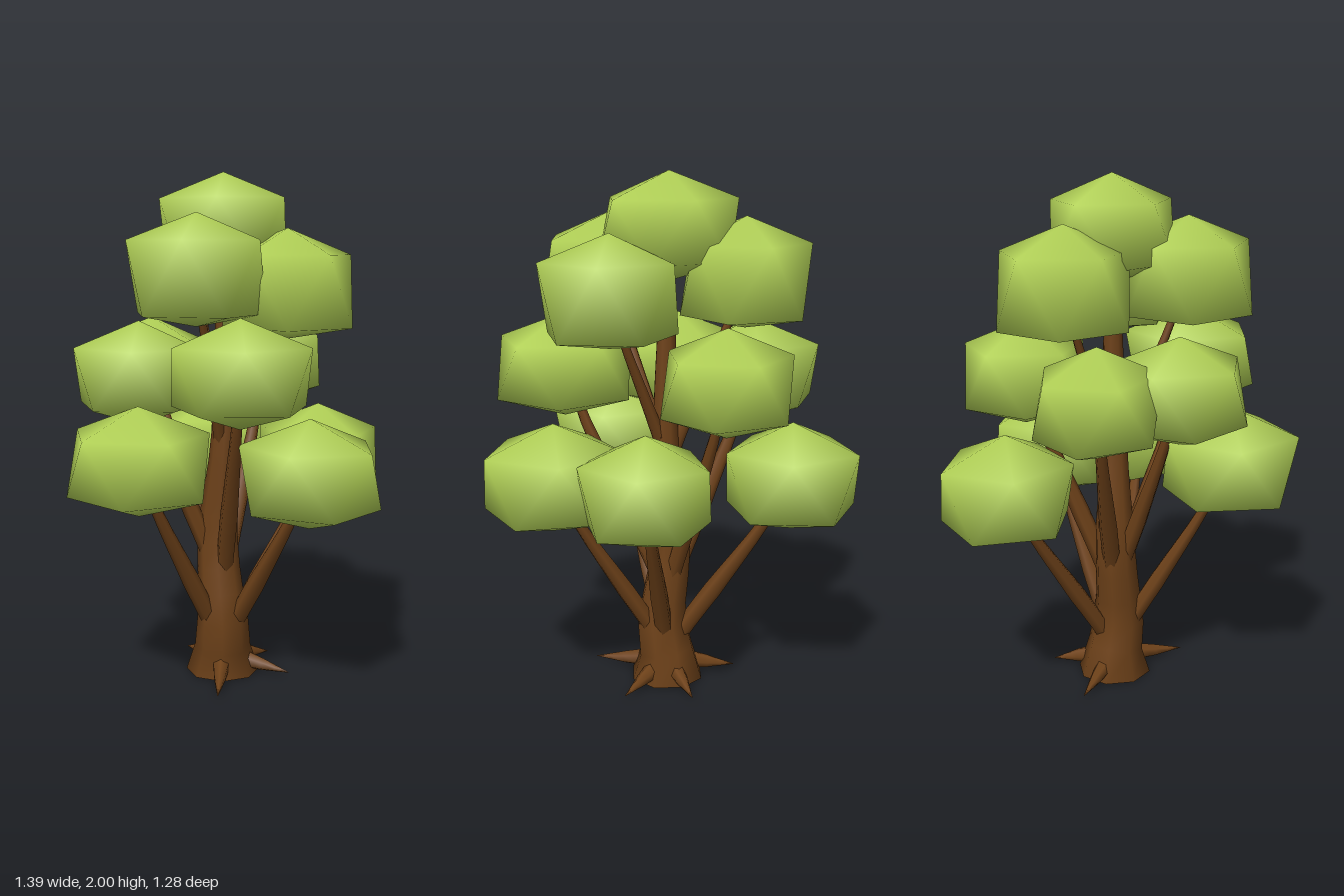
import * as THREE from 'three';
import { mergeVertices } from 'three/addons/utils/BufferGeometryUtils.js';

const leaf = new THREE.MeshStandardMaterial({ color: 0xb5d558 });
leaf.name = 'leafGreen';
const bark = new THREE.MeshStandardMaterial({ color: 0x70431a });
bark.name = 'barkBrown';

const V = (x, y, z) => new THREE.Vector3(x, y, z);
const AXIS = { x: -0.04, z: -0.08 }; // trunk centre line

// Tube along a curve whose radius follows a list of values
function taperedTube(points, radii, segments, sides) {
  const curve = new THREE.CatmullRomCurve3(points);
  const geo = new THREE.TubeGeometry(curve, segments, 1, sides, false);
  const pos = geo.attributes.position;
  const v = V(0, 0, 0);
  for (let i = 0; i <= segments; i++) {
    const centre = curve.getPointAt(i / segments);
    const t = (i / segments) * (radii.length - 1);
    const k = Math.min(Math.floor(t), radii.length - 2);
    const r = THREE.MathUtils.lerp(radii[k], radii[k + 1], t - k);
    for (let j = 0; j <= sides; j++) {
      const n = i * (sides + 1) + j;
      v.fromBufferAttribute(pos, n).sub(centre).multiplyScalar(r).add(centre);
      pos.setXYZ(n, v.x, v.y, v.z);
    }
  }
  return geo;
}

// Smooth icosahedron standing on its point, with its two rings moved to set heights
function clumpGeometry(upperRing, lowerRing) {
  let geo = new THREE.IcosahedronGeometry(1, 0);
  geo.deleteAttribute('uv');
  geo.deleteAttribute('normal');
  geo = mergeVertices(geo, 1e-4);
  geo.rotateZ(Math.atan(2 / (1 + Math.sqrt(5))));
  const pos = geo.attributes.position;
  for (let i = 0; i < pos.count; i++) {
    const y = pos.getY(i);
    if (Math.abs(y) < 0.9) pos.setY(i, y > 0 ? upperRing : lowerRing);
  }
  geo.computeVertexNormals();
  return geo;
}

// Leaf clumps: x, y, z, half width, half depth, yaw of an upper corner in degrees, tier
const CLUMPS = [
  [-0.04, 1.8, -0.08, 0.298, 0.265, -90, 'top'],
  [0.09, 1.635, 0.185, 0.3, 0.28, 57, 'upper'],
  [-0.305, 1.63, -0.195, 0.275, 0.275, 204, 'upper'],
  [0.23, 1.58, -0.155, 0.29, 0.28, 12, 'upper'],
  [-0.21, 1.235, 0.21, 0.292, 0.28, 120, 'middle'],
  [0.293, 1.265, 0.16, 0.298, 0.29, -30, 'middle'],
  [-0.425, 1.23, -0.045, 0.302, 0.255, 0, 'middle'],
  [-0.125, 1.26, -0.405, 0.272, 0.265, -90, 'middle'],
  [-0.025, 0.93, 0.375, 0.308, 0.293, 90, 'lower'],
  [0.425, 0.885, -0.075, 0.305, 0.287, -5, 'lower'],
  [-0.41, 0.88, -0.395, 0.29, 0.28, 10, 'lower'],
  [0.19, 0.89, -0.39, 0.275, 0.275, -60, 'lower'],
];

// Height on the trunk where each tier's branches fork off
const FORK = { lower: 0.16, middle: 0.42, upper: 0.95 };

// Roots: direction in degrees, length
const ROOTS = [[48, 0.32], [-30, 0.28], [-88, 0.26], [192, 0.28]];

export function createModel() {
  const tree = new THREE.Group();
  tree.name = 'tree';
  const add = (name, geo, mat, parent = tree) => {
    const mesh = new THREE.Mesh(geo, mat);
    mesh.name = name;
    parent.add(mesh);
    return mesh;
  };
  const group = (name) => {
    const g = new THREE.Group();
    g.name = name;
    tree.add(g);
    return g;
  };

  // Trunk, flared at the foot
  const trunkPath = [
    V(AXIS.x, 0, AXIS.z), V(AXIS.x, 0.08, AXIS.z), V(-0.025, 0.22, -0.065), V(-0.06, 0.55, -0.07),
    V(-0.03, 1.0, -0.08), V(-0.04, 1.75, -0.08),
  ];
  const trunkRadii = [0.148, 0.113, 0.104, 0.092, 0.086, 0.082, 0.076, 0.066, 0.058, 0.053, 0.049, 0.045, 0.041, 0.037, 0.034, 0.03, 0.025];
  add('trunk', taperedTube(trunkPath, trunkRadii, 16, 8), bark);
  const foot = add('trunkFoot', new THREE.CircleGeometry(0.145, 8), bark);
  foot.rotation.x = Math.PI / 2;
  foot.position.set(AXIS.x, 0.002, AXIS.z);

  // Pointed roots
  const roots = group('roots');
  for (const [degrees, length] of ROOTS) {
    const a = THREE.MathUtils.degToRad(degrees);
    const at = (r, y) => V(AXIS.x + Math.cos(a) * r, y, AXIS.z + Math.sin(a) * r);
    add('root', taperedTube([at(0.05, 0.06), at(0.15, 0.038), at(length, 0.01)], [0.042, 0.026, 0.001], 4, 6), bark, roots);
  }

  // Branches and leaf clumps
  const branches = group('branches');
  const canopy = group('canopy');
  const roundClump = clumpGeometry(0.5, -0.62);
  const flatClump = clumpGeometry(0.52, -0.78);
  CLUMPS.forEach(([x, y, z, width, depth, yaw, tier]) => {
    const height = tier === 'middle' || tier === 'top' ? 0.202 : 0.208;
    const geo = (tier === 'upper' ? flatClump : roundClump).clone();
    geo.rotateY(Math.PI - THREE.MathUtils.degToRad(yaw)).scale(width, height, depth);
    geo.computeVertexNormals();
    add(tier + 'LeafClump', geo, leaf, canopy).position.set(x, y, z);

    if (tier === 'top') return;
    const y0 = FORK[tier];
    const along = (f, h) => V(
      THREE.MathUtils.lerp(AXIS.x, x, f),
      THREE.MathUtils.lerp(y0, y, h),
      THREE.MathUtils.lerp(AXIS.z, z, f),
    );
    const r = tier === 'upper' ? [0.028, 0.022, 0.017, 0.013] : [0.035, 0.036, 0.025, 0.015];
    add(tier + 'Branch', taperedTube([along(0.08, 0), along(0.2, 0.13), along(0.44, 0.37), along(0.82, 0.76), along(0.95, 0.95)], r, 9, 6), bark, branches);
  });

  return tree;
}
